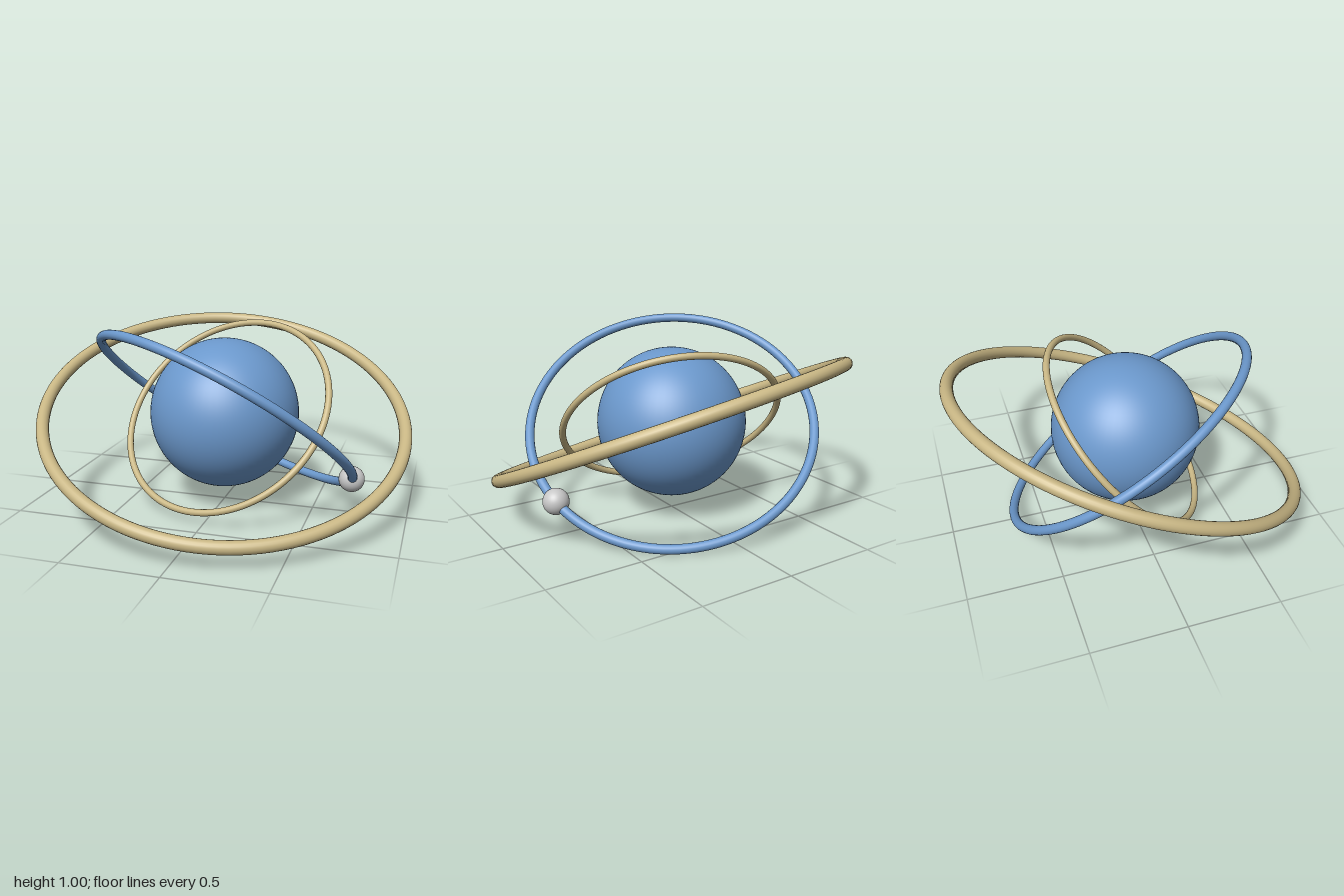
import * as THREE from 'three';

const CENTER_Y = 0.5;

function material(name, color) {
  const m = new THREE.MeshStandardMaterial({ color });
  m.name = name;
  return m;
}

export function createModel() {
  const blue = material('blue', 0x6b98cc);
  const tan = material('tan', 0xc8b684);
  const grey = material('light grey', 0xc8c8c8);

  const model = new THREE.Group();
  model.name = 'ringedPlanet';

  function add(name, geometry, mat, parent) {
    const mesh = new THREE.Mesh(geometry, mat);
    mesh.name = name;
    parent.add(mesh);
    return mesh;
  }

  // Central planet
  add('planet', new THREE.SphereGeometry(0.404, 64, 48), blue, model).position.y = CENTER_Y;

  // Tilted orbit rings: ring radius, tube radius, plane normal
  const rings = [
    ['outerRing', 0.9755, 0.034, [0.139, 0.918, 0.371], tan],
    ['middleRing', 0.7724, 0.025, [0.356, 0.789, -0.502], blue],
    ['innerRing', 0.5937, 0.018, [-0.229, 0.675, 0.7], tan],
  ];
  const zAxis = new THREE.Vector3(0, 0, 1);
  for (const [name, radius, tube, normal, mat] of rings) {
    const ring = add(name, new THREE.TorusGeometry(radius, tube, 20, 128), mat, model);
    ring.position.y = CENTER_Y;
    ring.quaternion.setFromUnitVectors(zAxis, new THREE.Vector3(...normal).normalize());
  }

  // Small moon riding on the middle ring
  add('moon', new THREE.SphereGeometry(0.069, 32, 24), grey, model).position.set(0.704, 0.186, 0);

  return model;
}
